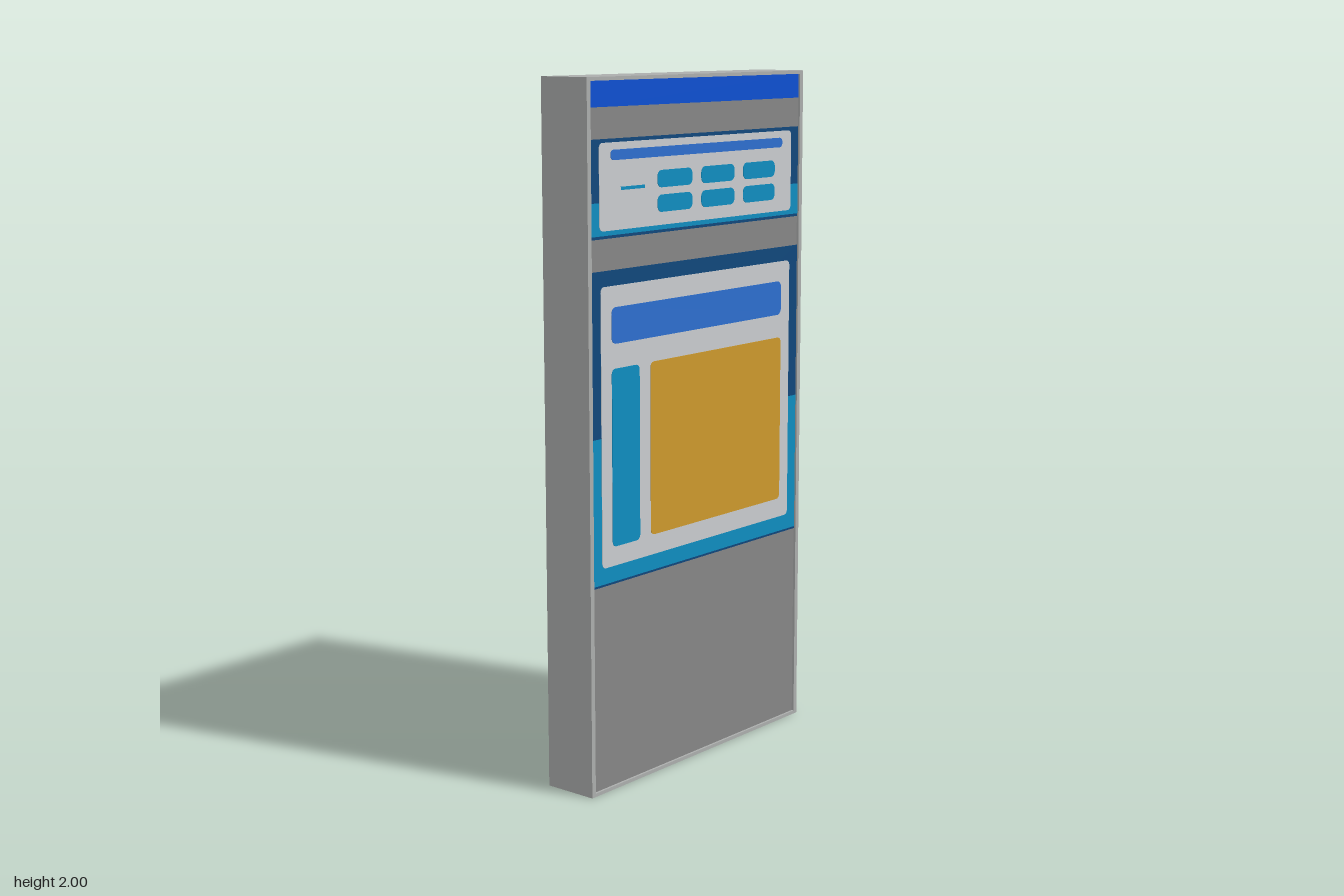
import * as THREE from 'three';

const mat = (name, color) => {
  const m = new THREE.MeshStandardMaterial({ color });
  m.name = name;
  return m;
};

// Rectangle outline with optional rounded corners
function roundedRect(x0, x1, y0, y1, r) {
  const s = new THREE.Shape();
  if (!r) {
    s.moveTo(x0, y0).lineTo(x1, y0).lineTo(x1, y1).lineTo(x0, y1).closePath();
    return s;
  }
  s.absarc(x1 - r, y0 + r, r, -Math.PI / 2, 0);
  s.absarc(x1 - r, y1 - r, r, 0, Math.PI / 2);
  s.absarc(x0 + r, y1 - r, r, Math.PI / 2, Math.PI);
  s.absarc(x0 + r, y0 + r, r, Math.PI, Math.PI * 1.5);
  s.closePath();
  return s;
}

export function createModel() {
  const casing = mat('casing grey', 0xacaead);
  const panelGrey = mat('panel grey', 0x868686);
  const royal = mat('royal blue', 0x0d50d2);
  const navy = mat('navy', 0x10477c);
  const teal = mat('teal', 0x0f8dc0);
  const white = mat('card white', 0xc9cccf);
  const blue = mat('heading blue', 0x2d6fcf);
  const amber = mat('amber', 0xcd992d);

  const model = new THREE.Group();
  model.name = 'informationPillar';
  const halfT = 0.082, halfW = 0.485, floor = 0.075, step = 0.0015;

  // Outer casing: a rim running through the full thickness
  const rim = roundedRect(-halfW, halfW, 0, 2, 0);
  rim.holes.push(roundedRect(-0.47, 0.47, 0.01, 1.99, 0));
  const rimGeo = new THREE.ExtrudeGeometry(rim, { depth: halfT * 2, bevelEnabled: false });
  rimGeo.translate(0, 0, -halfT).rotateY(Math.PI / 2);
  const frame = new THREE.Mesh(rimGeo, casing);
  frame.name = 'casingRim';
  model.add(frame);

  // Core whose broad sides are the display panels
  const core = new THREE.Mesh(new THREE.BoxGeometry(floor * 2, 1.98, 0.94), panelGrey);
  core.name = 'displayPanel';
  core.position.y = 1;
  model.add(core);

  // Painted layout of one broad side, drawn facing +z
  function createFace() {
    const face = new THREE.Group();
    const plate = (name, material, layer, x0, x1, y0, y1, r = 0) => {
      const geo = new THREE.ExtrudeGeometry(roundedRect(x0, x1, y0, y1, r),
        { depth: step, bevelEnabled: false, curveSegments: 5 });
      const mesh = new THREE.Mesh(geo, material);
      mesh.name = name;
      mesh.position.z = floor + layer * step;
      face.add(mesh);
    };

    plate('topBanner', royal, 0, -0.47, 0.47, 1.92, 1.99);

    // Upper notice board
    plate('upperBackTop', navy, 0, -0.47, 0.47, 1.665, 1.835);
    plate('upperBackBottom', teal, 0, -0.47, 0.47, 1.575, 1.665);
    plate('upperBaseLine', navy, 0, -0.47, 0.47, 1.567, 1.575);
    plate('upperCard', white, 1, -0.433, 0.433, 1.588, 1.825, 0.015);
    plate('upperHeading', blue, 2, -0.387, 0.387, 1.777, 1.805, 0.012);
    plate('upperDash', teal, 2, -0.345, -0.245, 1.695, 1.704);
    for (let col = 0; col < 3; col++) {
      const x = -0.19 + col * 0.194;
      for (const y of [1.624, 1.692]) plate('upperPill', teal, 2, x, x + 0.153, y, y + 0.048, 0.018);
    }

    // Main notice board
    plate('mainBackTop', navy, 0, -0.47, 0.47, 1.02, 1.48);
    plate('mainBackBottom', teal, 0, -0.47, 0.47, 0.606, 1.02);
    plate('mainBaseLine', navy, 0, -0.47, 0.47, 0.6, 0.606);
    plate('mainCard', white, 1, -0.43, 0.43, 0.652, 1.437, 0.015);
    plate('mainHeading', blue, 2, -0.387, 0.387, 1.277, 1.378, 0.018);
    plate('mainSidebar', teal, 2, -0.387, -0.27, 0.707, 1.208, 0.015);
    plate('mainPicture', amber, 2, -0.222, 0.387, 0.71, 1.208, 0.015);
    return face;
  }

  // The same layout on both broad sides
  for (const [name, side] of [['leftFace', 1], ['rightFace', -1]]) {
    const face = createFace();
    face.name = name;
    face.rotation.y = side * Math.PI / 2;
    model.add(face);
  }
  return model;
}
